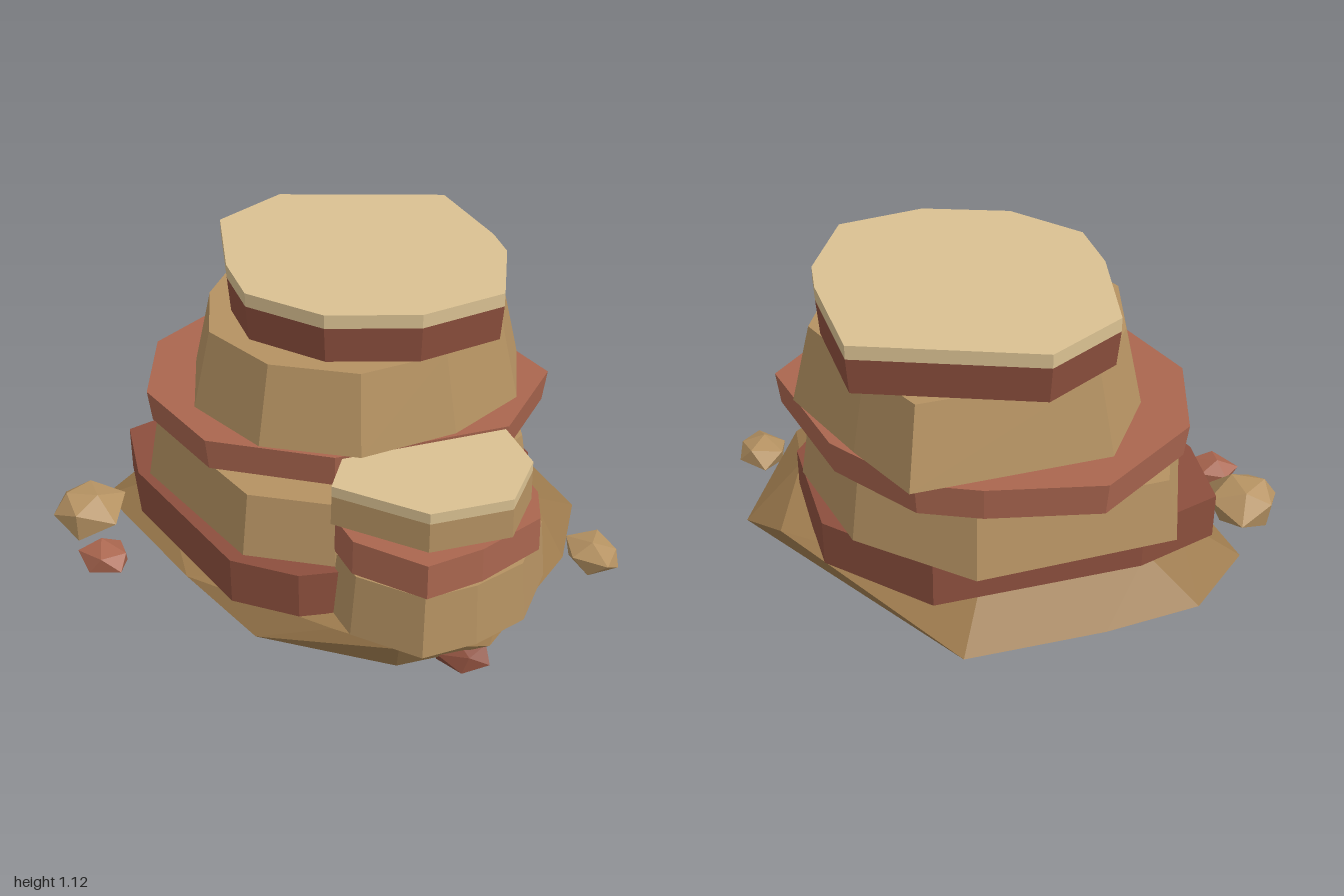
import * as THREE from 'three';
import { ConvexGeometry } from 'three/addons/geometries/ConvexGeometry.js';

const TAN = 0xb59262, RED = 0xaa664f, DARK_RED = 0x8c4f3d, SAND = 0xdac192, EARTH = 0x9c7a4d;

// Closed solid between two rings of [x, y, z] with equal point counts.
function solid(low, high) {
  const pos = [], n = low.length;
  const tri = (a, b, c) => pos.push(...a, ...b, ...c);
  const centre = (ring) => [0, 1, 2].map((k) => ring.reduce((s, p) => s + p[k], 0) / n);
  const c0 = centre(low), c1 = centre(high);
  for (let i = 0; i < n; i++) {
    const j = (i + 1) % n;
    tri(low[i], low[j], high[j]);
    tri(low[i], high[j], high[i]);
    tri(c0, low[j], low[i]);
    tri(c1, high[i], high[j]);
  }
  const g = new THREE.BufferGeometry();
  g.setAttribute('position', new THREE.Float32BufferAttribute(pos, 3));
  g.computeVertexNormals();
  return g;
}

// Plan outline scaled about its middle.
function scaled(outline, k) {
  const n = outline.length;
  const cx = outline.reduce((s, p) => s + p[0], 0) / n;
  const cz = outline.reduce((s, p) => s + p[1], 0) / n;
  return outline.map(([x, z]) => [cx + (x - cx) * k, cz + (z - cz) * k]);
}

// Plan outline raised to height y.
const raise = (outline, y) => outline.map(([x, z]) => [x, y, z]);

// Irregular faceted stone of the given size.
function stoneGeometry(size, turn, seed) {
  const g = new THREE.IcosahedronGeometry(1, 0);
  const p = g.attributes.position, v = new THREE.Vector3();
  for (let i = 0; i < p.count; i++) {
    v.fromBufferAttribute(p, i);
    v.multiplyScalar(0.9 + 0.18 * Math.sin(v.x * 5 + v.y * 9 + v.z * 7 + seed * 2.3));
    p.setXYZ(i, v.x, v.y, v.z);
  }
  g.rotateX(0.3 + seed * 0.5).rotateY(turn).center();
  g.boundingBox.getSize(v);
  g.scale(size[0] / v.x, size[1] / v.y, size[2] / v.z);
  g.computeVertexNormals();
  return g;
}

// Plan outlines [x, z], from the front round by +x
const lowerRed = [[-0.05, 0.74], [0.2, 0.69], [0.48, 0.45], [0.65, 0.1], [0.53, -0.43], [0.15, -0.72],
  [-0.31, -0.68], [-0.78, -0.07], [-0.9, 0.24], [-0.67, 0.47]];
const lowerTan = [[-0.03, 0.69], [0.28, 0.58], [0.58, 0.28], [0.64, -0.2], [0.42, -0.52], [0, -0.73],
  [-0.48, -0.66], [-0.91, -0.07], [-0.63, 0.45]];
const middleRed = [[-0.24, 0.59], [0.2, 0.45], [0.61, -0.04], [0.56, -0.47], [0.1, -0.7], [-0.28, -0.725],
  [-0.48, -0.62], [-0.79, -0.36], [-0.83, 0.1], [-0.62, 0.43]];
const upperTan = [[-0.41, 0.43], [-0.06, 0.53], [0.28, 0.41], [0.48, 0.1], [0.55, -0.24], [0.39, -0.57],
  [0, -0.7], [-0.3, -0.78], [-0.72, -0.21], [-0.62, 0.14]];
const mainCap = [[-0.22, 0.355], [0.1, 0.355], [0.38, 0.18], [0.54, -0.11], [0.39, -0.43], [0.28, -0.54],
  [-0.06, -0.785], [-0.62, -0.45], [-0.67, -0.12], [-0.41, 0.2]];
const sideBase = [[0.27, 0.6], [0.4, 0.68], [0.67, 0.66], [0.79, 0.5], [0.87, 0.3], [0.82, 0.03],
  [0.62, -0.17], [0.4, -0.05], [0.26, 0.25]];
const sideRed = [[0.27, 0.57], [0.39, 0.65], [0.67, 0.64], [0.78, 0.46], [0.865, 0.2], [0.79, 0.06],
  [0.63, -0.07], [0.27, 0.35]];
const sideCap = [[0.275, 0.6], [0.635, 0.57], [0.83, 0.35], [0.785, 0.11], [0.61, -0.035], [0.21, 0.42]];

// name, colour, outline, bottom y, top y, bottom scale, top scale
const layers = [
  ['lowerRedLayer', DARK_RED, lowerRed, 0.125, 0.3, 1, 1],
  ['lowerTanLayer', TAN, lowerTan, 0.3, 0.53, 1, 0.945],
  ['middleRedLayer', RED, middleRed, 0.53, 0.65, 0.99, 1.01],
  ['upperTanLayer', TAN, upperTan, 0.65, 0.94, 1, 0.89],
  ['topRedLayer', DARK_RED, mainCap, 0.94, 1.07, 0.98, 1],
  ['topSandCap', SAND, mainCap, 1.07, 1.12, 1, 1],
  ['sideTanLayer', TAN, sideBase, 0.125, 0.36, 1, 0.94],
  ['sideRedLayer', RED, sideRed, 0.36, 0.49, 1, 0.99],
  ['sideUpperTanLayer', TAN, sideCap, 0.49, 0.6, 1, 0.99],
  ['sideSandCap', SAND, sideCap, 0.6, 0.64, 0.99, 0.99],
];

// Foot of the mound: ground corners [x, z] and jutting shoulder corners [x, y, z]
const footGround = [[-0.98, 0.33], [0.05, 0.745], [0.55, 0.62], [0.74, 0.28], [0.67, -0.59], [-0.48, -0.735],
  [-0.8, -0.33], [-0.995, -0.02]];
const footShoulder = [[-0.28, 0.115, 0.7], [0.33, 0.12, 0.68], [0.58, 0.125, 0.66], [0.83, 0.12, 0.48],
  [0.83, 0.11, -0.12], [0.6, 0.17, -0.34], [0.42, 0.11, -0.66]];

// name, colour, centre, size, turn about y
const stones = [
  ['largeTanStone', TAN, [-0.86, 0.105, 0.52], [0.28, 0.17, 0.26], 0.4],
  ['leftRedStone', RED, [-0.655, 0.067, 0.705], [0.19, 0.115, 0.17], 1.1],
  ['rightTanStone', TAN, [0.89, 0.07, -0.26], [0.215, 0.12, 0.18], 0.2],
  ['rightRedStone', DARK_RED, [0.72, 0.065, 0.475], [0.24, 0.12, 0.17], 2],
];

export function createModel() {
  const model = new THREE.Group();
  model.name = 'layeredRock';
  const add = (name, color, geometry) => {
    const mesh = new THREE.Mesh(geometry, new THREE.MeshStandardMaterial({ color, flatShading: true }));
    mesh.name = name;
    model.add(mesh);
    return mesh;
  };

  // Faceted foot with partly overhanging shoulders
  const footCorners = [...raise(footGround, 0.01), ...footShoulder, ...raise(scaled(footGround, 0.72), 0.13)];
  add('foot', EARTH, new ConvexGeometry(footCorners.map((p) => new THREE.Vector3(...p))));

  // Main and side stacks
  for (const [name, color, outline, y0, y1, k0, k1] of layers) {
    add(name, color, solid(raise(scaled(outline, k0), y0), raise(scaled(outline, k1), y1)));
  }

  // Loose stones
  stones.forEach(([name, color, centre, size, turn], i) => {
    add(name, color, stoneGeometry(size, turn, i)).position.set(...centre);
  });
  return model;
}
